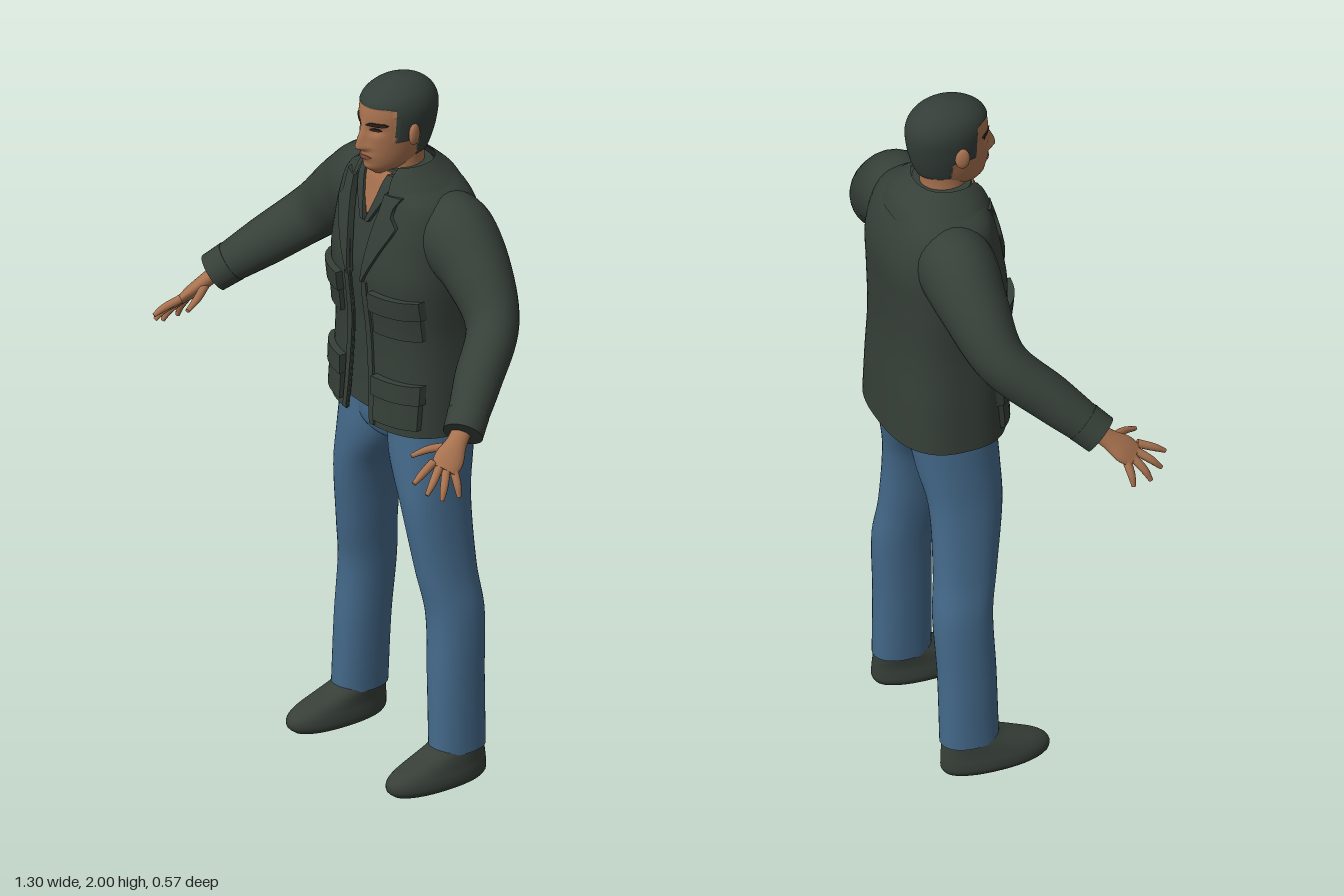
import * as THREE from 'three';

const mat = (name, color, side = THREE.FrontSide) => {
  const m = new THREE.MeshStandardMaterial({ color, side });
  m.name = name;
  return m;
};

// Smooth (Hermite) interpolation of profile rows [y, ...values]
function at(rows, y) {
  let i = 0;
  while (i < rows.length - 2 && y > rows[i + 1][0]) i++;
  const slope = (k, c) => {
    const a = rows[Math.max(k - 1, 0)], b = rows[Math.min(k + 1, rows.length - 1)];
    return (b[c] - a[c]) / (b[0] - a[0]);
  };
  const p = rows[i], q = rows[i + 1], h = q[0] - p[0];
  const t = THREE.MathUtils.clamp((y - p[0]) / h, 0, 1), t2 = t * t, t3 = t2 * t;
  return p.map((v, c) => c === 0 ? y
    : (2 * t3 - 3 * t2 + 1) * v + (t3 - 2 * t2 + t) * h * slope(i, c)
    + (3 * t2 - 2 * t3) * q[c] + (t3 - t2) * h * slope(i + 1, c));
}

// Skin over a list of rings of Vector3, optionally closed around and capped
function skin(rings, closed = true) {
  const pos = [], idx = [], n = rings[0].length, m = rings.length;
  rings.forEach(r => r.forEach(p => pos.push(p.x, p.y, p.z)));
  for (let i = 0; i < m - 1; i++) for (let j = 0; j < (closed ? n : n - 1); j++) {
    const k = (j + 1) % n, a = i * n + j, b = i * n + k;
    idx.push(a, b, b + n, a, b + n, a + n);
  }
  if (closed) [0, m - 1].forEach((i, end) => {
    const c = rings[i].reduce((s, p) => s.add(p), new THREE.Vector3()).divideScalar(n);
    const base = pos.length / 3;
    rings[i].forEach(p => pos.push(p.x, p.y, p.z));
    pos.push(c.x, c.y, c.z);
    for (let j = 0; j < n; j++) {
      const k = (j + 1) % n;
      idx.push(base + n, base + (end ? j : k), base + (end ? k : j));
    }
  });
  const g = new THREE.BufferGeometry();
  g.setAttribute('position', new THREE.Float32BufferAttribute(pos, 3));
  g.setIndex(idx);
  g.computeVertexNormals();
  return g;
}

// Horizontal superellipse rings; rows are [y, centreX, halfWidth, zFront, zBack]
function stack(rows, { n = 2, seg = 40, levels = 32, gap = null, bump = null } = {}) {
  const y0 = rows[0][0], y1 = rows[rows.length - 1][0], rings = [];
  for (let i = 0; i <= levels; i++) {
    const [y, cx, a, zf, zb] = at(rows, y0 + (y1 - y0) * i / levels), ring = [];
    const start = gap ? Math.asin(Math.min(1, Math.pow(at(gap, y)[1] / a, n / 2))) : 0;
    for (let j = 0; j < (gap ? seg + 1 : seg); j++) {
      const th = start + (2 * Math.PI - 2 * start) * j / seg;
      const s = Math.sin(th), c = Math.cos(th), f = v => Math.sign(v) * Math.pow(Math.abs(v), 2 / n);
      const p = new THREE.Vector3(cx + a * f(s), y, (zf + zb) / 2 + (zf - zb) / 2 * f(c));
      if (bump) bump(p);
      ring.push(p);
    }
    rings.push(ring);
  }
  return skin(rings, !gap);
}

// Limb along a curve; stops are [x, y, z, widthRadius, thicknessRadius]
function limb(stops, ref, levels = 24, seg = 20) {
  const curve = new THREE.CatmullRomCurve3(stops.map(s => new THREE.Vector3(...s)));
  const radii = stops.map((s, i) => [i / (stops.length - 1), s[3], s[4]]), rings = [];
  for (let i = 0; i <= levels; i++) {
    const k = i / levels, c = curve.getPoint(k), t = curve.getTangent(k), [, ru, rv] = at(radii, k);
    const u = ref.clone().addScaledVector(t, -ref.dot(t)).normalize(), v = t.clone().cross(u);
    rings.push(Array.from({ length: seg }, (_, j) => {
      const a = 2 * Math.PI * j / seg;
      return c.clone().addScaledVector(u, ru * Math.cos(a)).addScaledVector(v, rv * Math.sin(a));
    }));
  }
  return skin(rings);
}

function mirrored(g) {
  const m = g.clone().scale(-1, 1, 1), ix = m.index.array;
  for (let i = 0; i < ix.length; i += 3) [ix[i], ix[i + 1]] = [ix[i + 1], ix[i]];
  m.computeVertexNormals();
  return m;
}

const jacketRows = [
  [1.02, 0, .232, .042, -.287], [1.15, 0, .226, .036, -.282], [1.3, 0, .217, .036, -.276],
  [1.45, 0, .222, .05, -.28], [1.55, 0, .217, .038, -.284], [1.62, 0, .208, .024, -.272],
  [1.68, 0, .188, .008, -.248], [1.72, 0, .135, -.002, -.222], [1.75, 0, .095, -.015, -.19]];
const headRows = [
  [1.735, 0, .028, -.005, -.1], [1.755, 0, .047, .014, -.14], [1.78, 0, .06, .022, -.166], [1.82, 0, .071, .026, -.184],
  [1.87, 0, .08, .027, -.196], [1.92, 0, .084, .026, -.199], [1.955, 0, .075, .016, -.186],
  [1.98, 0, .055, -.012, -.16], [1.994, 0, .031, -.045, -.128], [2.0, 0, .006, -.078, -.095]];

const frontZ = (rows, n) => (x, y) => {
  const [, , a, zf, zb] = at(rows, y);
  return (zf + zb) / 2 + (zf - zb) / 2 * Math.pow(Math.max(0, 1 - Math.pow(Math.min(1, Math.abs(x) / a), n)), 1 / n);
};
const jacketZ = frontZ(jacketRows, 2.6), headZ = frontZ(headRows, 2);
const bell = (x, c, w) => Math.exp(-(((x - c) / w) ** 2));

// Nose, eye sockets, lips and chin pushed out of the face
const faceBump = (x, y) => {
  const noseY = y < 1.822 ? bell(y, 1.822, .011) : bell(y, 1.822, .045);
  return .027 * bell(x, 0, .011 + .006 * bell(y, 1.82, .015)) * noseY + .007 * bell(x, 0, .022) * bell(y, 1.792, .013)
    - .009 * bell(Math.abs(x), .034, .017) * bell(y, 1.874, .013) + .005 * bell(x, 0, .02) * bell(y, 1.757, .012);
};
const faceZ = (x, y) => headZ(x, y) + faceBump(x, y);
const isHair = (x, y, z) => y > 1.94 - .25 * Math.max(0, Math.abs(x) - .055) ||
  (z < -.03 && y > 1.84) || (z < -.1 && y > 1.785);

// Plate lying on a surface; rows are [y, x0, x1]
function plate(rows, surface, depth) {
  const g = new THREE.BoxGeometry(1, 1, 1, 8, 10, 1), p = g.attributes.position;
  const y0 = rows[0][0], y1 = rows[rows.length - 1][0];
  for (let i = 0; i < p.count; i++) {
    const y = y0 + (y1 - y0) * (p.getY(i) + .5), [, a, b] = at(rows, y);
    const x = a + (b - a) * (p.getX(i) + .5);
    p.setXYZ(i, x, y, surface(x, y) + p.getZ(i) * depth * 2);
  }
  g.computeVertexNormals();
  return g;
}

export function createModel() {
  const cloth = mat('jacket green', 0x363f38, THREE.DoubleSide), shirtMat = mat('shirt grey', 0x353f39);
  const denim = mat('denim blue', 0x44698a), flesh = mat('skin', 0xa8724f), hairMat = mat('hair', 0x343e39);
  const leather = mat('shoe', 0x373f38), dark = mat('brow and eye', 0x2a211d), lip = mat('lip', 0x8a5341);
  const model = new THREE.Group();
  const add = (name, geo, m) => {
    const mesh = new THREE.Mesh(geo, m);
    mesh.name = name;
    model.add(mesh);
  };
  const pair = (name, geo, m) => {
    add(name + 'Left', geo, m);
    add(name + 'Right', mirrored(geo), m);
  };

  // Head: one surface, faces sorted into skin and hair
  const head = stack(headRows, {
    seg: 96, levels: 90, bump: p => {
      if (isHair(p.x, p.y, p.z)) { p.x *= 1.04; p.z = (p.z + .085) * 1.02 - .085; }
      else if (p.z > -.03) p.z += faceBump(p.x, p.y);
    }
  });
  const hp = head.attributes.position, parts = [[], []], ix = head.index.array;
  for (let i = 0; i < ix.length; i += 3) {
    const t = [ix[i], ix[i + 1], ix[i + 2]], mid = f => t.reduce((s, k) => s + hp[f](k), 0) / 3;
    parts[isHair(mid('getX'), mid('getY'), mid('getZ')) ? 1 : 0].push(...t);
  }
  head.setIndex(parts.flat());
  head.addGroup(0, parts[0].length, 0);
  head.addGroup(parts[0].length, parts[1].length, 1);
  add('head', head, [flesh, hairMat]);
  add('neck', stack([[1.6, 0, .075, -.02, -.19], [1.7, 0, .066, -.025, -.17], [1.75, 0, .058, -.03, -.16], [1.81, 0, .058, -.03, -.165]]), flesh);
  pair('ear', new THREE.SphereGeometry(1, 16, 12).scale(.011, .031, .02).rotateY(.3).translate(.086, 1.86, -.078), flesh);
  pair('eyebrow', plate([[1.888, .014, .058], [1.893, .016, .063], [1.899, .028, .056]], faceZ, .004), dark);
  pair('eye', plate([[1.871, .026, .042], [1.876, .02, .049], [1.881, .027, .043]], faceZ, .003), dark);
  add('mouth', plate([[1.785, -.013, .013], [1.791, -.025, .025], [1.798, -.013, .013]], faceZ, .003), lip);

  // Shirt with open neck
  const inset = jacketRows.map(([y, c, a, f, b]) => [y, c, a - .016, f - .014, b + .016]);
  inset[0][0] = 1.055;
  add('shirt', stack(inset, { n: 2.6 }), shirtMat);
  const shirtZ = frontZ(inset, 2.6);
  add('openNeck', plate([[1.62, -.003, .003], [1.68, -.032, .032], [1.745, -.05, .05]], shirtZ, .005), flesh);
  pair('shirtCollar', plate([[1.6, .003, .016], [1.68, .03, .06], [1.74, .046, .075]], shirtZ, .012), shirtMat);

  // Open jacket with collar, lapels and four flap pockets
  const gap = [[1.02, .052], [1.15, .042], [1.35, .027], [1.48, .03], [1.6, .055], [1.7, .07], [1.75, .065]];
  add('jacket', stack(jacketRows, { n: 2.6, seg: 64, levels: 48, gap }), cloth);
  add('collar', stack([[1.68, 0, .178, .022, -.252], [1.715, 0, .145, .012, -.234], [1.745, 0, .112, .002, -.203], [1.765, 0, .092, -.012, -.18]],
    { n: 2.2, gap: [[1.68, .085], [1.72, .075], [1.765, .07]] }), cloth);
  pair('lapel', plate([[1.44, .028, .034], [1.54, .042, .088], [1.635, .06, .132], [1.65, .064, .105], [1.7, .07, .12]], jacketZ, .01), cloth);
  pair('placket', plate([[1.025, .053, .07], [1.15, .043, .062], [1.35, .028, .05], [1.44, .029, .048]], jacketZ, .006), cloth);
  [[1.305, 1.42], [1.045, 1.17]].forEach(([low, high], i) => {
    const name = i ? 'lowerPocket' : 'chestPocket';
    pair(name, plate([[low, .075, .2], [high, .075, .2]], jacketZ, .014), cloth);
    pair(name + 'Flap', plate([[high - .05, .07, .204], [high + .005, .07, .204]], jacketZ, .021), cloth);
  });

  // Sleeves and cuffs
  const back = new THREE.Vector3(0, 0, 1);
  pair('sleeve', limb([[.1, 1.61, -.14, .09, .09], [.19, 1.585, -.138, .105, .118], [.29, 1.525, -.134, .092, .1],
    [.405, 1.42, -.105, .07, .078], [.49, 1.322, .002, .064, .066], [.565, 1.235, .1, .051, .05]], back, 40, 28), cloth);
  pair('cuff', limb([[.542, 1.262, .07, .057, .057], [.571, 1.228, .108, .055, .054]], back, 3, 28), cloth);

  // Hands: palm, four fingers and thumb
  const across = new THREE.Vector3(-.05, .03, .06).normalize();
  pair('palm', limb([[.555, 1.245, .09, .026, .021], [.574, 1.21, .13, .028, .02], [.59, 1.18, .165, .04, .018],
    [.602, 1.158, .192, .036, .012]], across, 12), flesh);
  const fingers = [
    [[.578, 1.176, .21], [.59, 1.158, .255], [.595, 1.142, .284]],
    [[.592, 1.164, .2], [.614, 1.138, .236], [.622, 1.112, .261]],
    [[.605, 1.156, .186], [.629, 1.122, .21], [.639, 1.092, .224]],
    [[.613, 1.152, .166], [.634, 1.12, .17], [.644, 1.09, .172]],
    [[.565, 1.2, .14], [.53, 1.19, .19], [.512, 1.175, .234]]];
  fingers.forEach((f, i) => pair(i < 4 ? 'finger' + (i + 1) : 'thumb',
    limb([.012, .0105, .006].map((r, k) => [...f[k], r, r]), across, 10, 10), flesh));

  // Trousers
  add('trouserSeat', stack([[.935, 0, .03, -.06, -.16], [.96, 0, .13, -.015, -.21], [1.0, 0, .205, 0, -.235], [1.1, 0, .205, 0, -.25]]), denim);
  pair('trouserLeg', stack([[.09, .223, .058, -.038, -.2], [.3, .213, .063, -.042, -.202], [.48, .2, .065, -.046, -.21],
    [.6, .181, .063, -.026, -.2], [.8, .152, .071, .002, -.2], [.92, .119, .098, .005, -.222], [1.02, .107, .107, 0, -.237],
    [1.08, .105, .104, 0, -.24]], { n: 2.2, levels: 40 }), denim);

  // Shoes
  pair('shoe', stack([[0, .227, .054, .09, -.192], [.012, .228, .063, .104, -.2], [.035, .228, .063, .106, -.201],
    [.055, .227, .059, .085, -.2], [.075, .225, .056, .035, -.198], [.1, .222, .053, -.03, -.194], [.125, .221, .048, -.055, -.19]],
    { n: 2.2, levels: 20 }), leather);
  return model;
}
